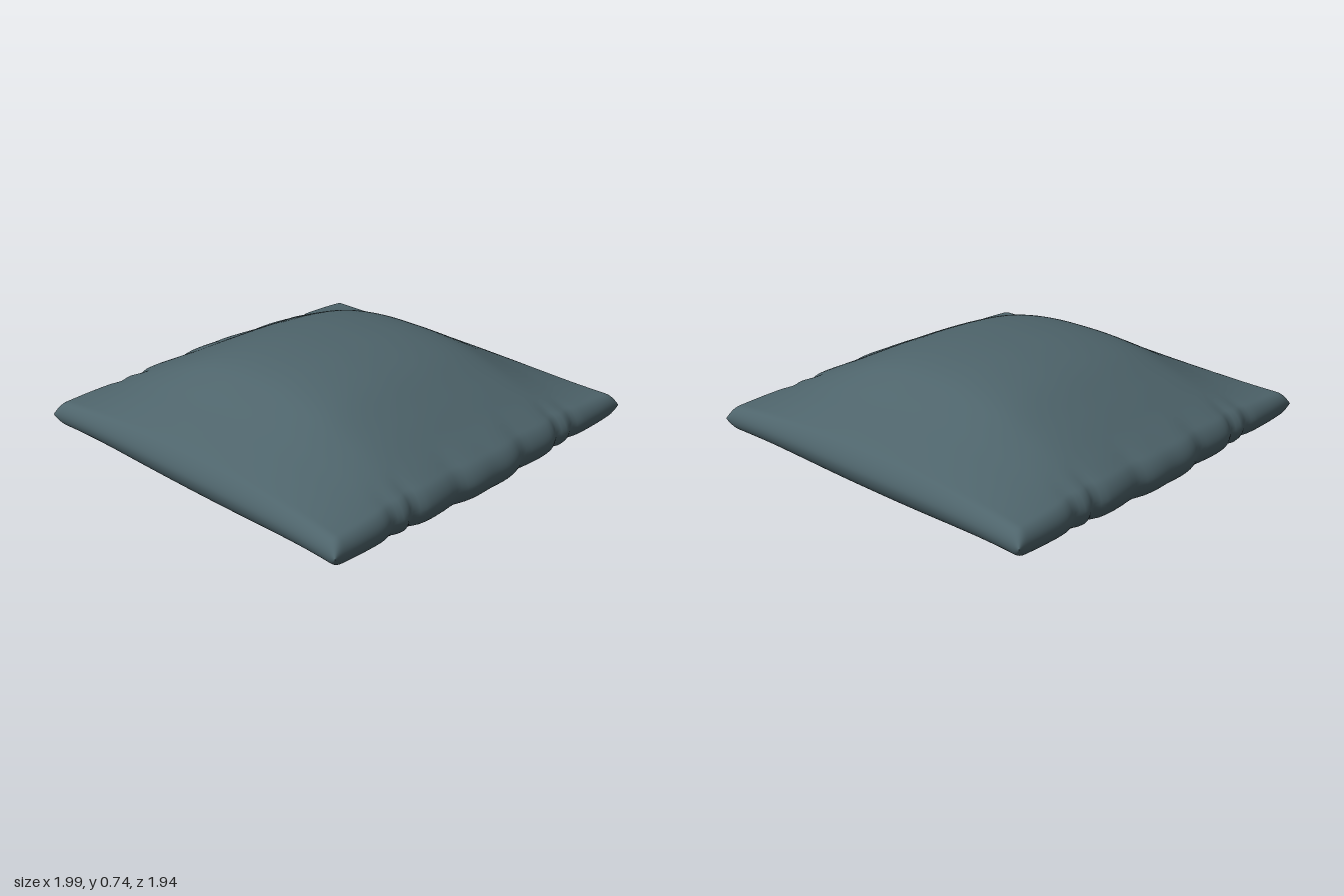
import * as THREE from 'three';
import { mergeVertices } from 'three/addons/utils/BufferGeometryUtils.js';

const HALF_X = 0.957, HALF_Z = 0.943, MID_Y = 0.37, RIM = 0.06, PUFF = 0.308, N = 100;

// Smooth lookup through a few [position, value] pairs
function profile(pairs) {
  const curve = new THREE.CubicInterpolant(pairs.map(p => p[0]), pairs.map(p => p[1]), 1);
  return t => curve.evaluate(t)[0];
}

// Fullness of the stuffing across the width and the depth
const fullX = profile([[-0.2, 0.98], [0, 1], [0.2, 0.98], [0.4, 0.9], [0.5, 0.81], [0.6, 0.65],
  [0.7, 0.47], [0.8, 0.3], [0.9, 0.12], [HALF_X, 0]]);
const fullZ = profile([[-0.2, 0.97], [0, 1], [0.2, 0.97], [0.4, 0.84], [0.6, 0.58],
  [0.8, 0.26], [0.9, 0.08], [HALF_Z, 0]]);

// Puckered seam line along the front and back edges
const seam = profile([[-0.1, 0.97], [0, 0.968], [0.1, 0.97], [0.16, 0.962], [0.22, 0.943], [0.3, 0.95],
  [0.4, 0.954], [0.46, 0.945], [0.5, 0.922], [0.56, 0.942], [0.62, 0.925], [0.68, 0.94], [0.8, 0.946], [1, 0.94]]);

// Rounded rim: 0 on the seam, 1 once past the rim width
function rim(distance) {
  const k = 1 - Math.min(1, Math.max(0, distance) / 0.055);
  return Math.sqrt(Math.max(0, 1 - k * k));
}

function pillowPoint(u, v, side) {
  const au = Math.abs(u), av = Math.abs(v);
  const x = u * (HALF_X + 0.03 * av ** 4);
  const pucker = (seam(Math.abs(x)) - HALF_Z) * THREE.MathUtils.smoothstep(av, 0.78, 1);
  const z = Math.sign(v) * (av * HALF_Z + pucker);
  const edge = rim((1 - au) * HALF_X) * rim((1 - av) * HALF_Z);
  const puff = Math.max(0, fullX(au * HALF_X)) * Math.max(0, fullZ(av * HALF_Z));
  return [x, MID_Y + side * (RIM * edge + PUFF * puff), z];
}

// Upper and lower skins share the seam, so the normals stay smooth around it
function pillowGeometry() {
  const positions = [], index = [];
  const spread = i => Math.sin((i / N - 0.5) * Math.PI);
  for (const side of [1, -1]) {
    const start = positions.length / 3;
    for (let j = 0; j <= N; j++) {
      for (let i = 0; i <= N; i++) positions.push(...pillowPoint(spread(i), spread(j), side));
    }
    for (let j = 0; j < N; j++) {
      for (let i = 0; i < N; i++) {
        const a = start + j * (N + 1) + i, b = a + 1, c = a + N + 1, d = c + 1;
        if (side > 0) index.push(a, c, b, b, c, d);
        else index.push(a, b, c, b, d, c);
      }
    }
  }
  const geometry = new THREE.BufferGeometry();
  geometry.setAttribute('position', new THREE.Float32BufferAttribute(positions, 3));
  geometry.setIndex(index);
  const welded = mergeVertices(geometry, 1e-5);
  welded.computeVertexNormals();
  return welded;
}

export function createModel() {
  const group = new THREE.Group();
  group.name = 'pillow';
  const fabric = new THREE.MeshStandardMaterial({ color: 0x4e646b });
  fabric.name = 'slate fabric';
  const cushion = new THREE.Mesh(pillowGeometry(), fabric);
  cushion.name = 'cushion';
  cushion.rotation.y = -0.009;
  group.add(cushion);
  return group;
}
